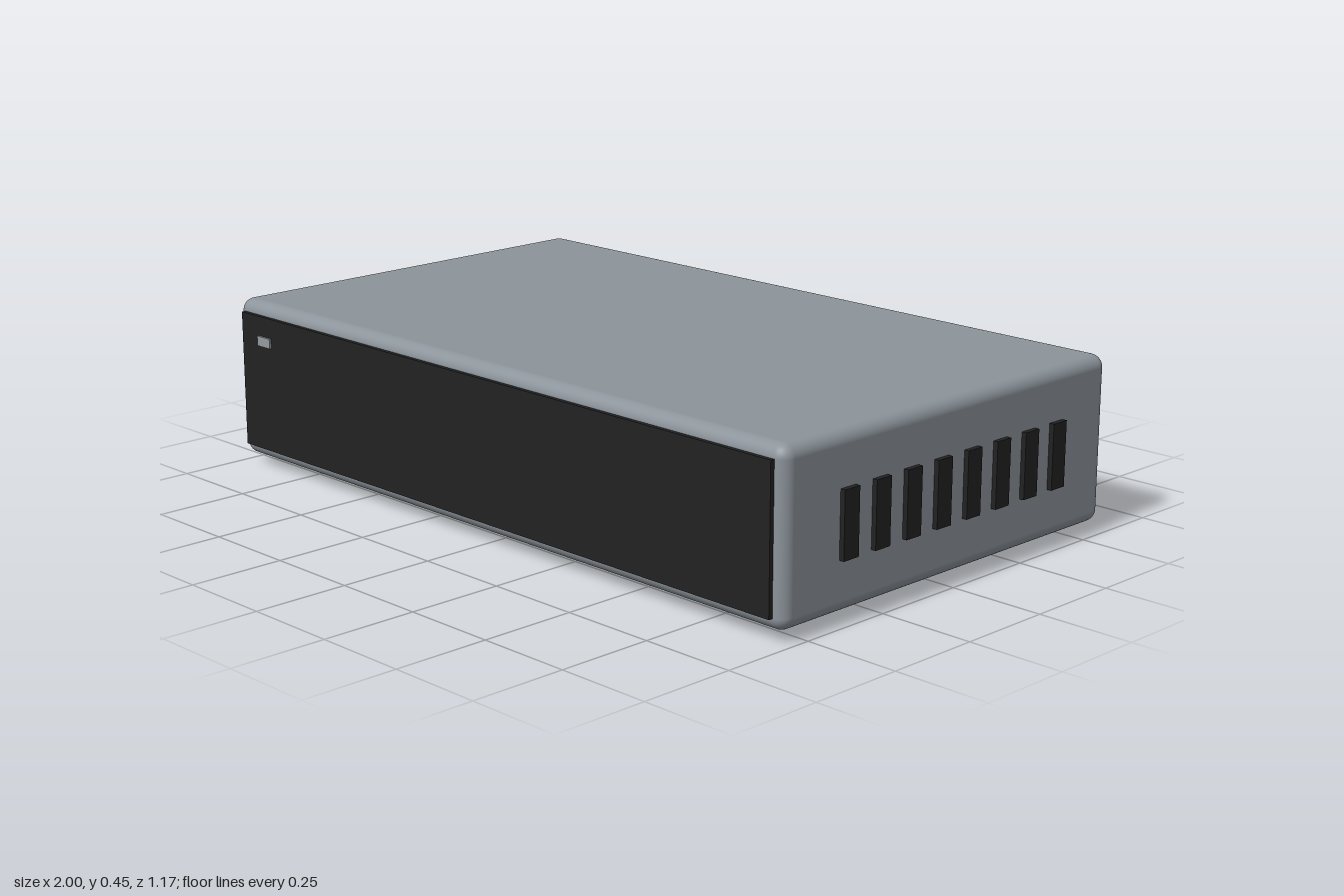
import * as THREE from 'three';
import { RoundedBoxGeometry } from 'three/addons/geometries/RoundedBoxGeometry.js';

function material(name, color) {
  const m = new THREE.MeshStandardMaterial({ color });
  m.name = name;
  return m;
}

export function createModel() {
  const model = new THREE.Group();
  model.name = 'deviceBox';

  const casing = material('casingGrey', 0x8c949b);
  const black = material('panelBlack', 0x222222);
  const rubber = material('footRubber', 0x1c1c1c);
  const lightGrey = material('indicatorGrey', 0x939b9f);

  function add(name, geometry, mat, x, y, z) {
    const mesh = new THREE.Mesh(geometry, mat);
    mesh.name = name;
    mesh.position.set(x, y, z);
    model.add(mesh);
  }

  const centreZ = -0.008;

  // Rounded casing
  add('casing', new RoundedBoxGeometry(1.974, 0.427, 1.156, 5, 0.033), casing, 0, 0.24, centreZ);

  // Front panel and its small indicator
  add('frontPanel', new THREE.BoxGeometry(1.914, 0.363, 0.026), black, 0, 0.24, 0.568);
  add('indicator', new THREE.BoxGeometry(0.053, 0.026, 0.009), lightGrey, -0.858, 0.356, 0.5825);

  // Rows of raised vent slats on both sides
  const slat = new THREE.BoxGeometry(0.026, 0.166, 0.05);
  for (const side of [-1, 1]) {
    for (let i = 0; i < 8; i++) {
      add('ventSlat', slat, black, side * 0.987, 0.239, 0.362 - i * 0.107);
    }
  }

  // Four round feet
  const foot = new THREE.CylinderGeometry(0.066, 0.066, 0.04, 24);
  for (const x of [-0.792, 0.792]) {
    for (const z of [-0.411, 0.411]) {
      add('foot', foot, rubber, x, 0.02, z + centreZ);
    }
  }

  return model;
}
